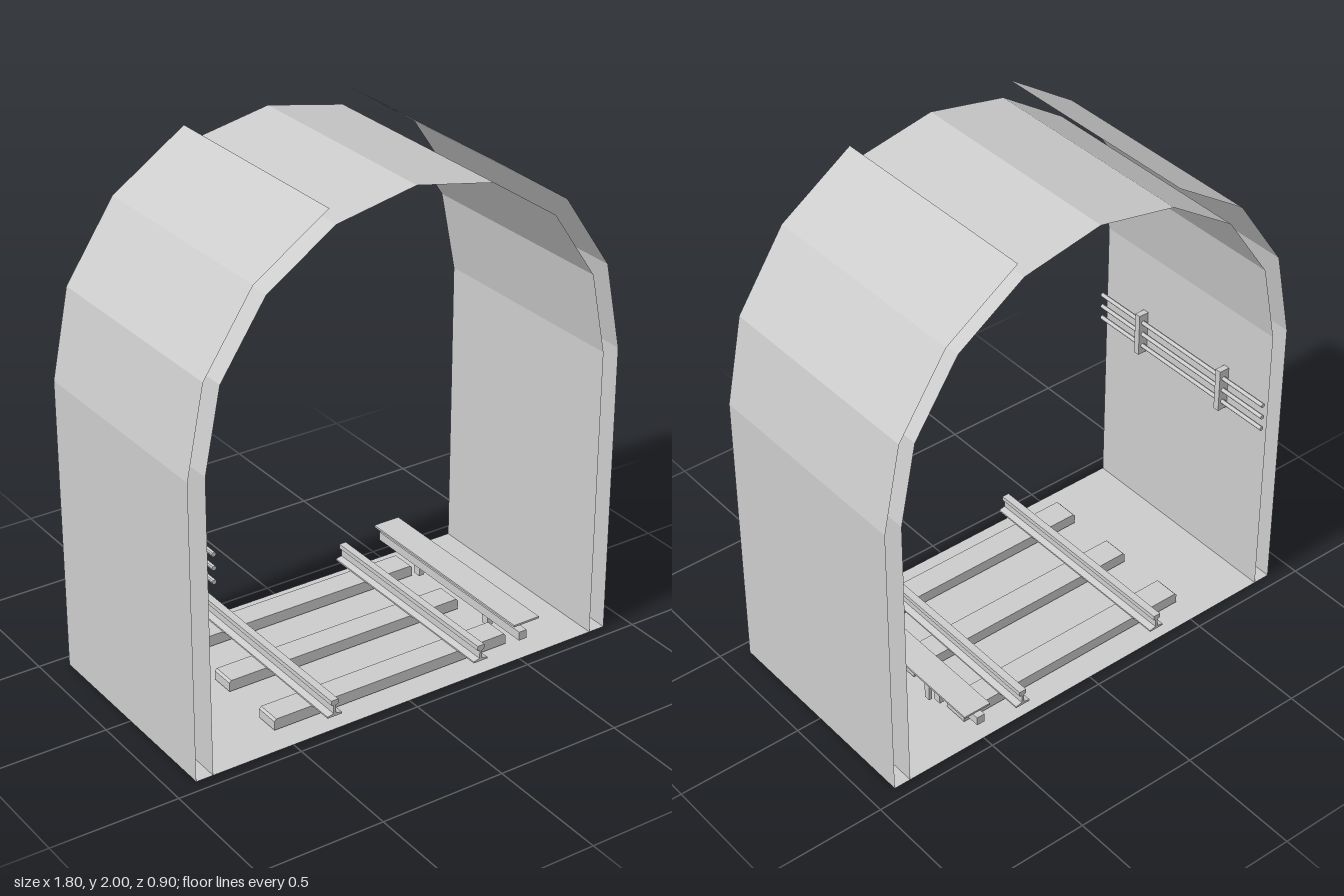
import * as THREE from 'three';

const LENGTH = 0.9, HALF = LENGTH / 2;
const SPRING_Y = 1.17; // height where the arch begins

const grey = new THREE.MeshStandardMaterial({ color: 0xcccccc, side: THREE.DoubleSide, flatShading: true });
grey.name = 'concrete grey';

function add(parent, geometry, name, x = 0, y = 0, z = 0) {
  const mesh = new THREE.Mesh(geometry, grey);
  mesh.name = name;
  mesh.position.set(x, y, z);
  parent.add(mesh);
  return mesh;
}

// Box given by its limits in x and y, and its centre and length in z
function bar(parent, name, x0, x1, y0, y1, z = 0, length = LENGTH) {
  return add(parent, new THREE.BoxGeometry(x1 - x0, y1 - y0, length), name, (x0 + x1) / 2, (y0 + y1) / 2, z);
}

// Open sheet swept along z from a profile of [x, y] points
function sheet(profile) {
  const pos = [];
  for (let i = 0; i < profile.length - 1; i++) {
    const [ax, ay] = profile[i], [bx, by] = profile[i + 1];
    pos.push(ax, ay, HALF, ax, ay, -HALF, bx, by, -HALF);
    pos.push(ax, ay, HALF, bx, by, -HALF, bx, by, HALF);
  }
  const g = new THREE.BufferGeometry();
  g.setAttribute('position', new THREE.Float32BufferAttribute(pos, 3));
  g.computeVertexNormals();
  return g;
}

// Wall plus arch facets of 22.5 degrees, starting on the +x side (or mirrored)
function archProfile(radius, facets, side = 1) {
  const points = [[side * radius, 0]];
  for (let i = 0; i <= facets; i++) {
    const a = i * Math.PI / 8;
    points.push([side * radius * Math.cos(a), SPRING_Y + radius * Math.sin(a)]);
  }
  return points;
}

// Profile shape extruded along z and centred there
function extrudeZ(points, depth) {
  const shape = new THREE.Shape(points.map(([x, y]) => new THREE.Vector2(x, y)));
  return new THREE.ExtrudeGeometry(shape, { depth, bevelEnabled: false }).translate(0, 0, -depth / 2);
}

export function createModel() {
  const model = new THREE.Group();
  model.name = 'railTunnelSection';

  // Tunnel lining: full inner arch, outer shell open along the crown
  const tunnel = new THREE.Group();
  tunnel.name = 'tunnel';
  model.add(tunnel);
  const inner = archProfile(0.832, 8);
  inner.push([-0.832, 0]);
  add(tunnel, sheet(inner), 'innerLining');
  add(tunnel, sheet(archProfile(0.9, 3, 1)), 'outerShellLeft');
  add(tunnel, sheet(archProfile(0.9, 3, -1).reverse()), 'outerShellRight');
  add(tunnel, sheet([[0.9, 0], [-0.9, 0]]), 'floor');

  // Track: chamfered sleepers and two I-section rails
  const track = new THREE.Group();
  track.name = 'track';
  model.add(track);
  const sleeper = extrudeZ([[-0.515, 0.01], [0.511, 0.01], [0.511, 0.046], [0.503, 0.055],
    [-0.507, 0.055], [-0.515, 0.046]], 0.1);
  for (const z of [-0.3, 0, 0.3]) add(track, sleeper, 'sleeper', 0, 0, z);

  const half = [[0.031, 0.055], [0.031, 0.061], [0.005, 0.067], [0.005, 0.1], [0.015, 0.104], [0.015, 0.122]];
  const railShape = [...half, ...half.map(([x, y]) => [-x, y]).reverse()];
  const rail = extrudeZ(railShape, LENGTH);
  for (const x of [-0.325, 0.319]) add(track, rail, 'runningRail', x);

  // Power rail with its cover board, brackets and hangers
  const power = new THREE.Group();
  power.name = 'powerRail';
  model.add(power);
  bar(power, 'conductorRail', 0.495, 0.529, 0.08, 0.116);
  bar(power, 'coverBoard', 0.47, 0.585, 0.146, 0.154);
  for (const z of [-0.22, 0.22]) {
    bar(power, 'railBracket', 0.511, 0.535, 0.03, 0.084, z, 0.035);
    bar(power, 'boardHanger', 0.566, 0.579, 0.07, 0.147, z, 0.025);
  }

  // Three cables held by two wall brackets
  const cables = new THREE.Group();
  cables.name = 'wallCables';
  model.add(cables);
  const cable = new THREE.CylinderGeometry(0.009, 0.009, LENGTH, 10).rotateX(Math.PI / 2);
  for (const y of [0.767, 0.82, 0.873]) add(cables, cable, 'cable', -0.807, y);
  for (const z of [-0.225, 0.225]) bar(cables, 'cableBracket', -0.831, -0.788, 0.73, 0.91, z, 0.025);

  return model;
}
